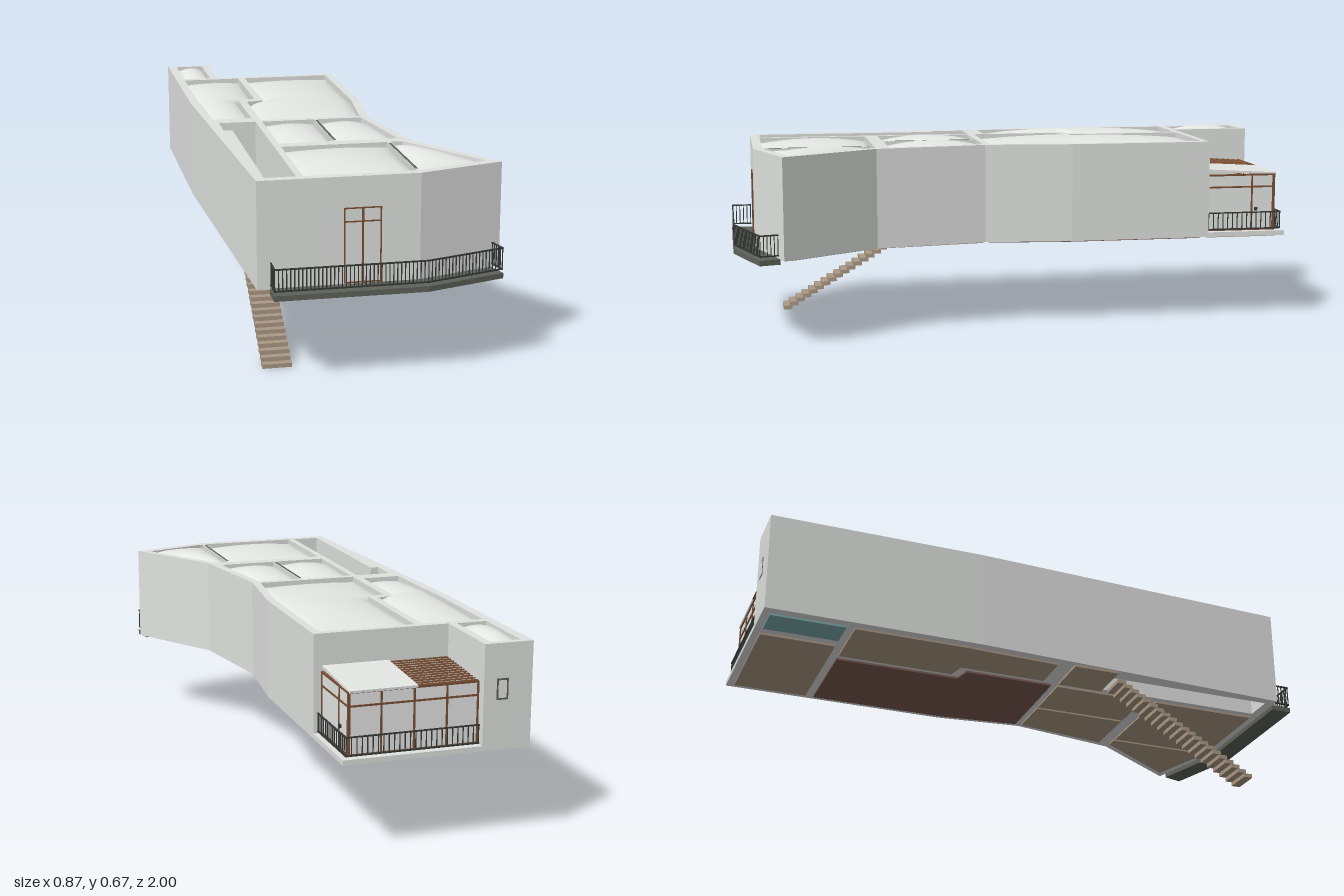
import * as THREE from 'three';

const mat = (name, color) => {
  const m = new THREE.MeshStandardMaterial({ color });
  m.name = name;
  return m;
};

export function createModel() {
  const model = new THREE.Group();
  const concrete = mat('concrete', 0xe0e2e0);
  const paleRoof = mat('pale roof', 0xe6e8e6);
  const wood = mat('brown wood', 0x7a5034);
  const tan = mat('tan boards', 0xac9985);
  const darkFloor = mat('dark red floor', 0x7c5a52);
  const teal = mat('teal tiles', 0x7eabab);
  const slabDark = mat('dark slab', 0x5f6259);
  const iron = mat('iron railing', 0x353a36);

  const add = (name, geometry, material, parent = model) => {
    const mesh = new THREE.Mesh(geometry, material);
    mesh.name = name;
    parent.add(mesh);
    return mesh;
  };
  const group = (name) => {
    const g = new THREE.Group();
    g.name = name;
    model.add(g);
    return g;
  };
  // Box from its minimum and maximum corners
  const box = (name, x0, x1, y0, y1, z0, z1, material, parent) => {
    const mesh = add(name, new THREE.BoxGeometry(x1 - x0, y1 - y0, z1 - z0), material, parent);
    mesh.position.set((x0 + x1) / 2, (y0 + y1) / 2, (z0 + z1) / 2);
    return mesh;
  };
  // Upright prism from plan points [x, z]; the outline runs anticlockwise so holes face inwards
  const toPoints = (plan) => plan.map(([x, z]) => new THREE.Vector2(x, -z));
  const prism = (name, plan, y0, y1, material, holes = []) => {
    const points = toPoints(plan);
    if (THREE.ShapeUtils.isClockWise(points)) points.reverse();
    const shape = new THREE.Shape(points);
    for (const h of holes) shape.holes.push(new THREE.Path(toPoints(h)));
    const geo = new THREE.ExtrudeGeometry(shape, { depth: y1 - y0, bevelEnabled: false });
    geo.rotateX(-Math.PI / 2);
    geo.translate(0, y0, 0);
    return add(name, geo, material);
  };
  // Rooms as rows [z, xMin, xMax]
  const rowsToPlan = (rows) => [
    ...rows.map(([z, a]) => [a, z]),
    ...rows.slice().reverse().map(([z, , b]) => [b, z]),
  ];
  // Pillow-shaped roof over a room
  const dome = (name, rows) => {
    const geo = new THREE.PlaneGeometry(1, 1, 20, 36).rotateX(-Math.PI / 2);
    const p = geo.attributes.position;
    const z0 = rows[0][0], z1 = rows[rows.length - 1][0];
    for (let i = 0; i < p.count; i++) {
      const u = p.getX(i) + 0.5, v = p.getZ(i) + 0.5;
      const z = z0 + (z1 - z0) * v;
      let k = 0;
      while (k < rows.length - 2 && z > rows[k + 1][0]) k++;
      const [za, a0, b0] = rows[k], [zb, a1, b1] = rows[k + 1];
      const t = (z - za) / (zb - za);
      const a = a0 + (a1 - a0) * t, b = b0 + (b1 - b0) * t;
      const rise = Math.sqrt(Math.max(0, Math.sin(Math.PI * u) * Math.sin(Math.PI * v)));
      p.setXYZ(i, a + (b - a) * u, 0.635 + 0.03 * rise, z);
    }
    geo.computeVertexNormals();
    add(name, geo, paleRoof);
  };

  // Rooms
  const rooms = [
    ['bathroom', [[-0.975, -0.402, -0.297], [-0.715, -0.402, -0.297]], teal],
    ['longRoom', [[-0.685, -0.402, -0.187], [-0.275, -0.402, -0.187], [-0.26, -0.4, -0.25], [0.05, -0.388, -0.25]], tan],
    ['mainRoom', [[-0.685, -0.16, 0.169], [-0.245, -0.16, 0.169], [-0.23, -0.222, 0.169], [-0.2, -0.222, 0.169], [0.09, -0.222, 0.137]], darkFloor],
    ['middleRoomRight', [[0.115, -0.222, -0.034], [0.455, -0.222, -0.034]], tan],
    ['middleRoomLeft', [[0.115, -0.022, 0.137], [0.455, -0.022, 0.187]], tan],
    ['frontRoomRight', [[0.503, -0.222, 0.138], [0.892, -0.222, 0.138]], tan],
    ['frontRoomLeft', [[0.503, 0.15, 0.192], [0.812, 0.15, 0.387], [0.887, 0.15, 0.162]], tan],
  ];
  for (const [name, rows, material] of rooms) {
    dome(name + 'Roof', rows);
    prism(name + 'Floor', rowsToPlan(rows), 0.298, 0.312, material);
  }

  // Walls with room and stairwell openings
  const stairwell = [[-0.375, 0.11], [-0.345, 0.23], [-0.345, 0.89], [-0.245, 0.89], [-0.245, 0.11]];
  stairwell.splice(1, 0, [-0.375, 0.23]);
  const outline = [[-0.436, -1], [-0.27, -1], [-0.27, -0.71], [0.197, -0.71], [0.197, -0.2], [0.164, 0.11],
    [0.228, 0.503], [0.434, 0.835], [0.146, 0.924], [-0.375, 0.924], [-0.432, -0.24]];
  prism('walls', outline, 0.305, 0.655, concrete, [...rooms.map((r) => rowsToPlan(r[1])), stairwell]);
  // Dark joints on the thin partitions
  for (const [x, z0, z1] of [[-0.028, 0.13, 0.44], [0.144, 0.52, 0.87]])
    box('partitionJoint', x - 0.004, x + 0.004, 0.65, 0.6555, z0, z1, slabDark);

  // Stairs and landing
  const stairs = group('stairs');
  for (let i = 0; i < 21; i++) {
    const y = i * 0.0146, z = 0.8 - i * 0.0242;
    box('tread', -0.342, -0.246, y, y + 0.014, z - 0.016, z + 0.016, tan, stairs);
  }
  box('landing', -0.402, -0.246, 0.296, 0.308, 0.11, 0.275, tan, stairs);

  // Railing along plan points
  const railing = (name, plan, y0, y1, gap) => {
    const g = group(name);
    for (let i = 0; i < plan.length - 1; i++) {
      const [xa, za] = plan[i], [xb, zb] = plan[i + 1];
      const len = Math.hypot(xb - xa, zb - za);
      for (const y of [y0, y1]) {
        const rail = add('rail', new THREE.BoxGeometry(len + 0.005, 0.0045, 0.005), iron, g);
        rail.position.set((xa + xb) / 2, y, (za + zb) / 2);
        rail.rotation.y = -Math.atan2(zb - za, xb - xa);
      }
      const n = Math.max(1, Math.round(len / gap));
      for (let k = 0; k <= n; k++) {
        const bar = add('baluster', new THREE.BoxGeometry(0.003, y1 - y0, 0.003), iron, g);
        bar.position.set(xa + (xb - xa) * k / n, (y0 + y1) / 2, za + (zb - za) * k / n);
      }
    }
  };

  // Front balcony
  prism('balconySlab', [[-0.335, 0.925], [-0.335, 1], [0.156, 1], [0.424, 0.916], [0.404, 0.846], [0.146, 0.925]],
    0.29, 0.308, slabDark);
  railing('balconyRailing', [[-0.332, 0.93], [-0.332, 0.996], [0.155, 0.996], [0.42, 0.914], [0.405, 0.854]], 0.321, 0.391, 0.0125);

  // Front door frame
  const door = group('frontDoor');
  for (const [x, w] of [[-0.098, 0.002], [-0.04, 0.003], [0.018, 0.002]])
    box('doorUpright', x - w, x + w, 0.31, 0.555, 0.919, 0.928, wood, door);
  for (const y of [0.312, 0.51, 0.5535]) box('doorRail', -0.1, 0.02, y - 0.002, y + 0.002, 0.919, 0.928, wood, door);

  // Rear terrace: slab, glazing and frames
  box('terraceSlab', -0.27, 0.197, 0.305, 0.322, -1, -0.71, concrete);
  box('terraceFloor', -0.255, 0.167, 0.298, 0.306, -0.975, -0.715, tan);
  box('rearGlass', -0.268, 0.168, 0.322, 0.528, -0.966, -0.962, paleRoof);
  box('sideGlass', 0.164, 0.168, 0.322, 0.528, -0.966, -0.71, paleRoof);
  const frame = group('terraceFrame');
  for (const x of [-0.265, -0.16, -0.05, 0.06, 0.168]) box('rearPost', x - 0.003, x + 0.003, 0.322, 0.53, -0.97, -0.96, wood, frame);
  for (const z of [-0.965, -0.882, -0.714]) box('sidePost', 0.162, 0.171, 0.322, 0.53, z - 0.003, z + 0.003, wood, frame);
  for (const y of [0.325, 0.483, 0.527]) {
    box('rearBeam', -0.268, 0.171, y - 0.003, y + 0.003, -0.97, -0.96, wood, frame);
    box('sideBeam', 0.162, 0.171, y - 0.003, y + 0.003, -0.97, -0.71, wood, frame);
  }
  box('doorHandle', 0.168, 0.176, 0.395, 0.407, -0.902, -0.892, iron, frame);

  // Sloping terrace roof: a plain panel beside bays of tilted louvres
  const roof = group('terraceRoof');
  roof.position.set(0, 0.538, -0.842);
  roof.rotation.x = -0.06;
  box('roofPanel', -0.06, 0.168, -0.004, 0.004, -0.132, 0.13, paleRoof, roof);
  for (const [a, b] of [[-0.262, -0.2], [-0.196, -0.137], [-0.132, -0.122], [-0.117, -0.077], [-0.073, -0.06]])
    for (let i = 0; i < 12; i++) {
      const z = -0.12 + i * 0.0218;
      box('louvre', a, b, -0.002, 0.002, z - 0.012, z + 0.012, wood, roof).rotation.x = 0.25;
    }
  railing('terraceRailing', [[-0.262, -0.987], [0.182, -0.987], [0.182, -0.715]], 0.33, 0.39, 0.018);

  // Small rear window
  const win = group('rearWindow');
  box('windowFrame', -0.354, -0.314, 0.47, 0.54, -1.001, -0.996, slabDark, win);
  box('windowPane', -0.348, -0.32, 0.476, 0.534, -1.002, -0.998, paleRoof, win);

  return model;
}
